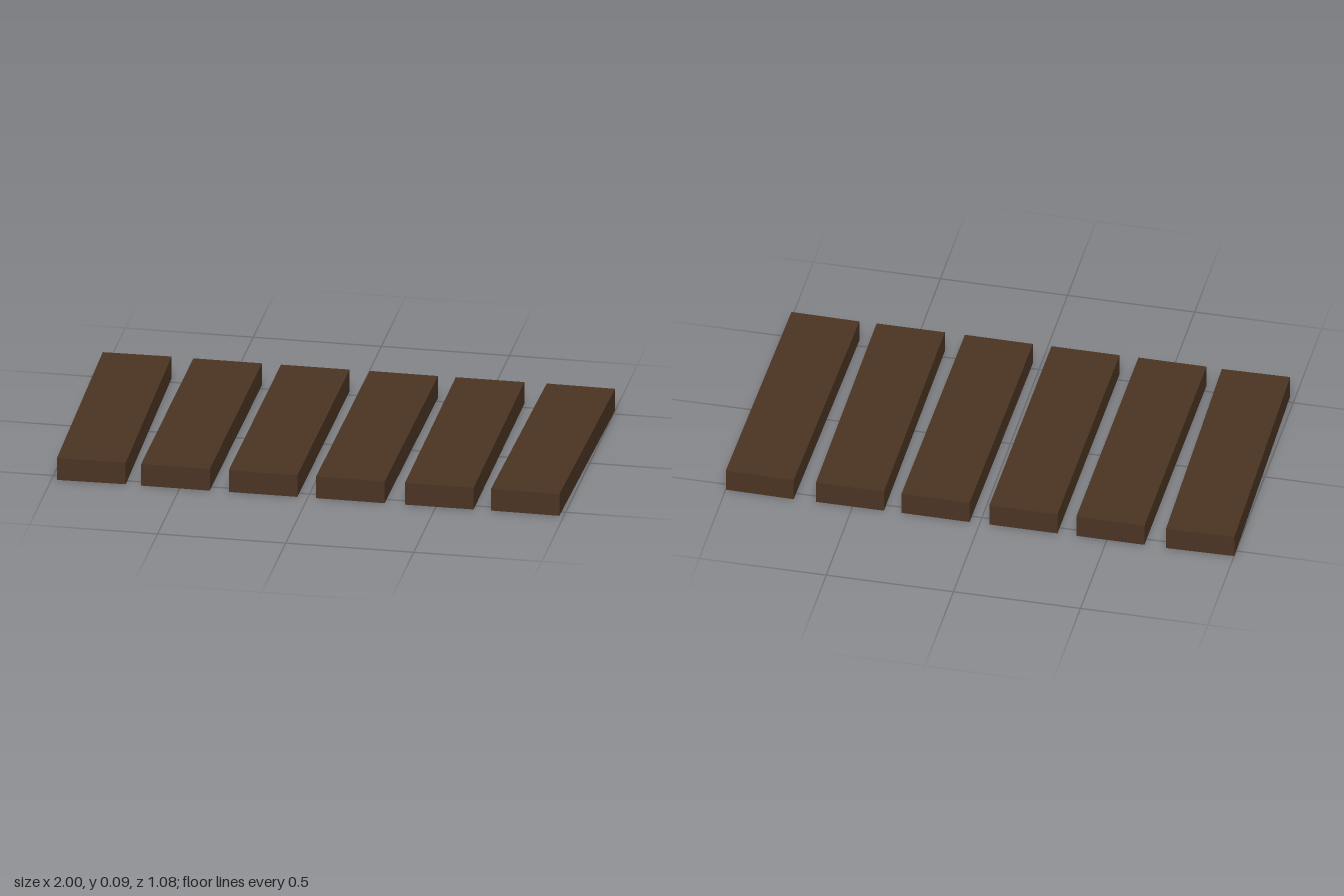
import * as THREE from 'three';

const WIDTH = 0.268, HEIGHT = 0.09, LENGTH = 1.075;

// Plank shell: a box with its underside left open
function plankGeometry() {
  const geometry = new THREE.BoxGeometry(WIDTH, HEIGHT, LENGTH);
  const index = Array.from(geometry.index.array);
  index.splice(18, 6); // bottom face
  geometry.setIndex(index);
  geometry.clearGroups();
  return geometry;
}

export function createModel() {
  const group = new THREE.Group();
  group.name = 'plankWalkway';

  const wood = new THREE.MeshStandardMaterial({ color: 0x4b3423, side: THREE.DoubleSide });
  wood.name = 'dark wood';

  // Centre x and slight yaw of each plank
  const planks = [
    [-0.856, 0.02],
    [-0.515, -0.003],
    [-0.173, -0.003],
    [0.17, -0.0075],
    [0.512, 0.002],
    [0.857, -0.016],
  ];

  const geometry = plankGeometry();
  planks.forEach(([x, yaw], i) => {
    const plank = new THREE.Mesh(geometry, wood);
    plank.name = `plank${i + 1}`;
    plank.position.set(x, HEIGHT / 2, 0);
    plank.rotation.y = yaw;
    group.add(plank);
  });
  return group;
}
